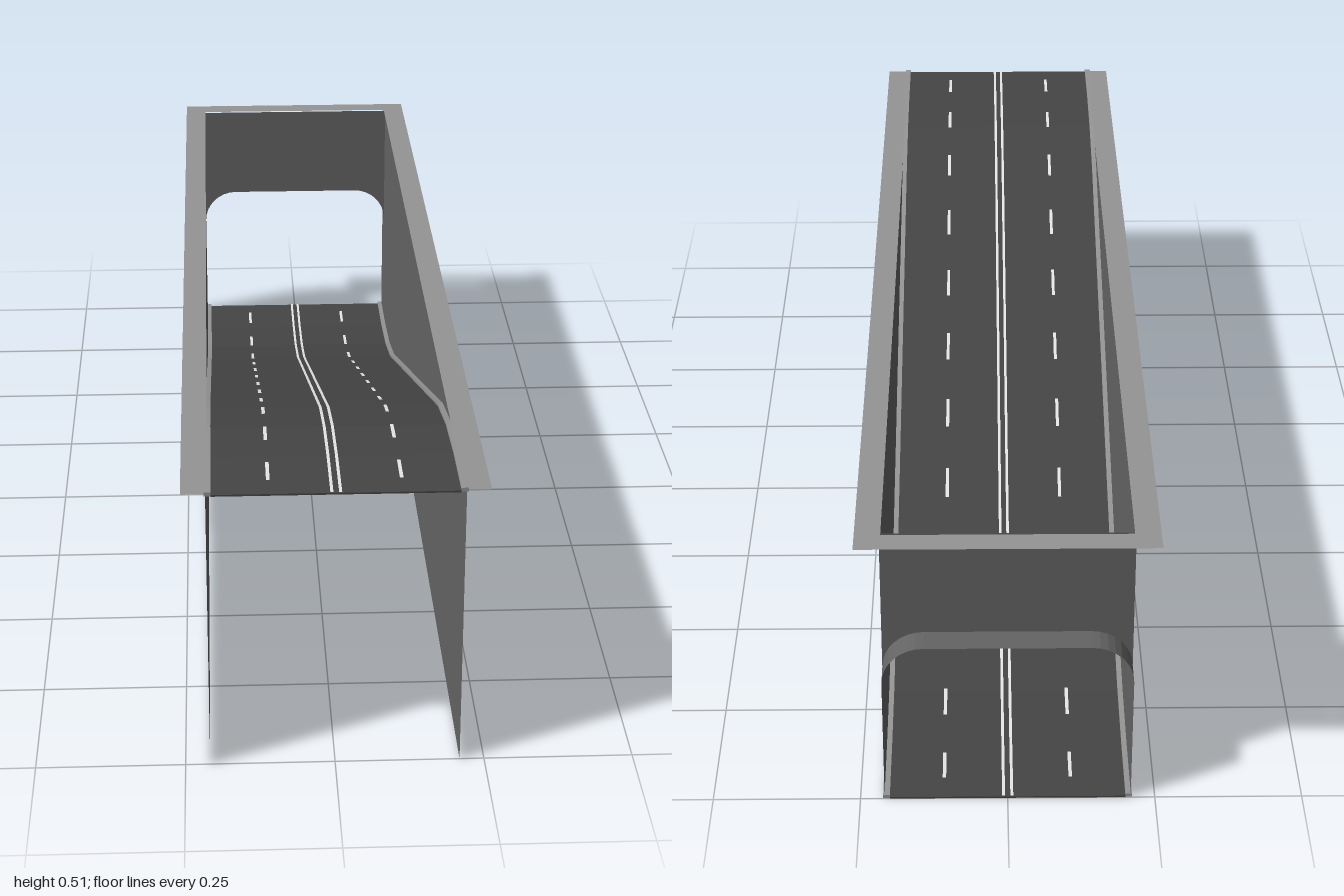
import * as THREE from 'three';

const mat = (name, color) => new THREE.MeshStandardMaterial({ name, color, side: THREE.DoubleSide });

const HALF = 0.209;    // side wall x
const TOP = 0.504;     // ground level
const BACK = -0.952;   // end wall z
const ARCH = 0.31, RADIUS = 0.07;

// Ramp profile as [z, y], level at both ends
const profile = [[-1, 0], [-0.86, 0.002], [-0.72, 0.015], [-0.57, 0.049],
  [0.57, 0.451], [0.72, 0.485], [0.86, 0.498], [1, 0.5]];

function rampY(z) {
  for (let i = 1; i < profile.length; i++) {
    const [z0, y0] = profile[i - 1], [z1, y1] = profile[i];
    if (z <= z1) return y0 + (y1 - y0) * (z - z0) / (z1 - z0);
  }
  return 0.5;
}

// Sweep a counter-clockwise [x, y] section along the ramp between two z values
function sweep(section, z0, z1, closed) {
  const zs = [z0, ...profile.map(p => p[0]).filter(z => z > z0 && z < z1), z1];
  const pos = [], n = section.length;
  const at = (k, z) => [section[k][0], section[k][1] + rampY(z), z];
  const quad = (a, b, c, d) => pos.push(...a, ...b, ...c, ...a, ...c, ...d);
  for (let i = 0; i + 1 < zs.length; i++) {
    for (let k = 0; k < (closed ? n : n - 1); k++) {
      const m = (k + 1) % n;
      quad(at(k, zs[i]), at(m, zs[i]), at(m, zs[i + 1]), at(k, zs[i + 1]));
    }
  }
  if (closed) {
    quad(at(0, z1), at(1, z1), at(2, z1), at(3, z1));
    quad(at(3, z0), at(2, z0), at(1, z0), at(0, z0));
  }
  const g = new THREE.BufferGeometry();
  g.setAttribute('position', new THREE.Float32BufferAttribute(pos, 3));
  g.computeVertexNormals();
  return g;
}

const box = (x0, x1, y0, y1) => [[x0, y0], [x1, y0], [x1, y1], [x0, y1]];

// Portal outline from the right foot over the rounded top to the left foot
function archPoints() {
  const pts = [[HALF, 0]];
  const steps = 8;
  for (const [side, start] of [[1, 0], [-1, Math.PI / 2]]) {
    for (let i = 0; i <= steps; i++) {
      const a = start + i / steps * Math.PI / 2;
      pts.push([side * (HALF - RADIUS) + RADIUS * Math.cos(a), ARCH - RADIUS + RADIUS * Math.sin(a)]);
    }
  }
  pts.push([-HALF, 0]);
  return pts;
}

export function createModel() {
  const wallMat = mat('wall concrete', 0x646464);
  const roadMat = mat('asphalt', 0x454545);
  const trimMat = mat('light concrete', 0x959595);
  const paintMat = mat('white paint', 0xffffff);

  const model = new THREE.Group();
  model.name = 'underpassRamp';
  const add = (name, geometry, material) => {
    const mesh = new THREE.Mesh(geometry, material);
    mesh.name = name;
    model.add(mesh);
    return mesh;
  };

  // Road slab, side walls and curbs
  add('road', sweep(box(-0.2, 0.2, 0, 0.003), -1, 1, true), roadMat);
  for (const s of [-1, 1]) {
    const side = s > 0 ? 'left' : 'right';
    const wall = add(side + 'Wall', new THREE.PlaneGeometry(1 - BACK, TOP), wallMat);
    wall.rotation.y = s * Math.PI / 2;
    wall.position.set(s * HALF, TOP / 2, (1 + BACK) / 2);
    const x = s > 0 ? [0.2, 0.2115] : [-0.2115, -0.2];
    add(side + 'Curb', sweep(box(...x, 0.001, 0.008), -1, 1, true), trimMat);
  }

  // Lane markings
  const stripe = (name, x, w, z0, z1) =>
    add(name, sweep([[x + w / 2, 0.0045], [x - w / 2, 0.0045]], z0, z1, false), paintMat);
  for (const s of [-1, 1]) {
    stripe('centreLine', s * 0.007, 0.005, -1, 1);
    for (let i = 0; i < 12; i++) {
      const z = -11 / 12 + i / 6;
      stripe('laneDash', s * 0.108, 0.006, z - 0.034, z + 0.034);
    }
  }

  // End wall above the portal
  const arch = archPoints();
  const endShape = new THREE.Shape();
  endShape.moveTo(HALF, TOP);
  endShape.lineTo(-HALF, TOP);
  arch.slice(1, -1).reverse().forEach(p => endShape.lineTo(p[0], p[1]));
  const endWall = add('endWall', new THREE.ShapeGeometry(endShape), wallMat);
  endWall.position.z = BACK;

  // Portal hood
  const hood = [];
  for (let i = 0; i + 1 < arch.length; i++) {
    const [a, b] = [arch[i], arch[i + 1]];
    hood.push(...a, BACK, ...a, -1, ...b, -1, ...a, BACK, ...b, -1, ...b, BACK);
  }
  const hoodGeo = new THREE.BufferGeometry();
  hoodGeo.setAttribute('position', new THREE.Float32BufferAttribute(hood, 3));
  hoodGeo.computeVertexNormals();
  add('portalHood', hoodGeo, wallMat);

  // Flat rim around three sides of the cutting
  const inner = 0.206, outer = 0.249;
  const rim = new THREE.Shape([[-outer, 1], [-outer, -1], [outer, -1], [outer, 1],
    [inner, 1], [inner, -0.957], [-inner, -0.957], [-inner, 1]].map(p => new THREE.Vector2(p[0], -p[1])));
  const rimMesh = add('rim', new THREE.ShapeGeometry(rim), trimMat);
  rimMesh.rotation.x = -Math.PI / 2;
  rimMesh.position.y = TOP + 0.0005;

  return model;
}
